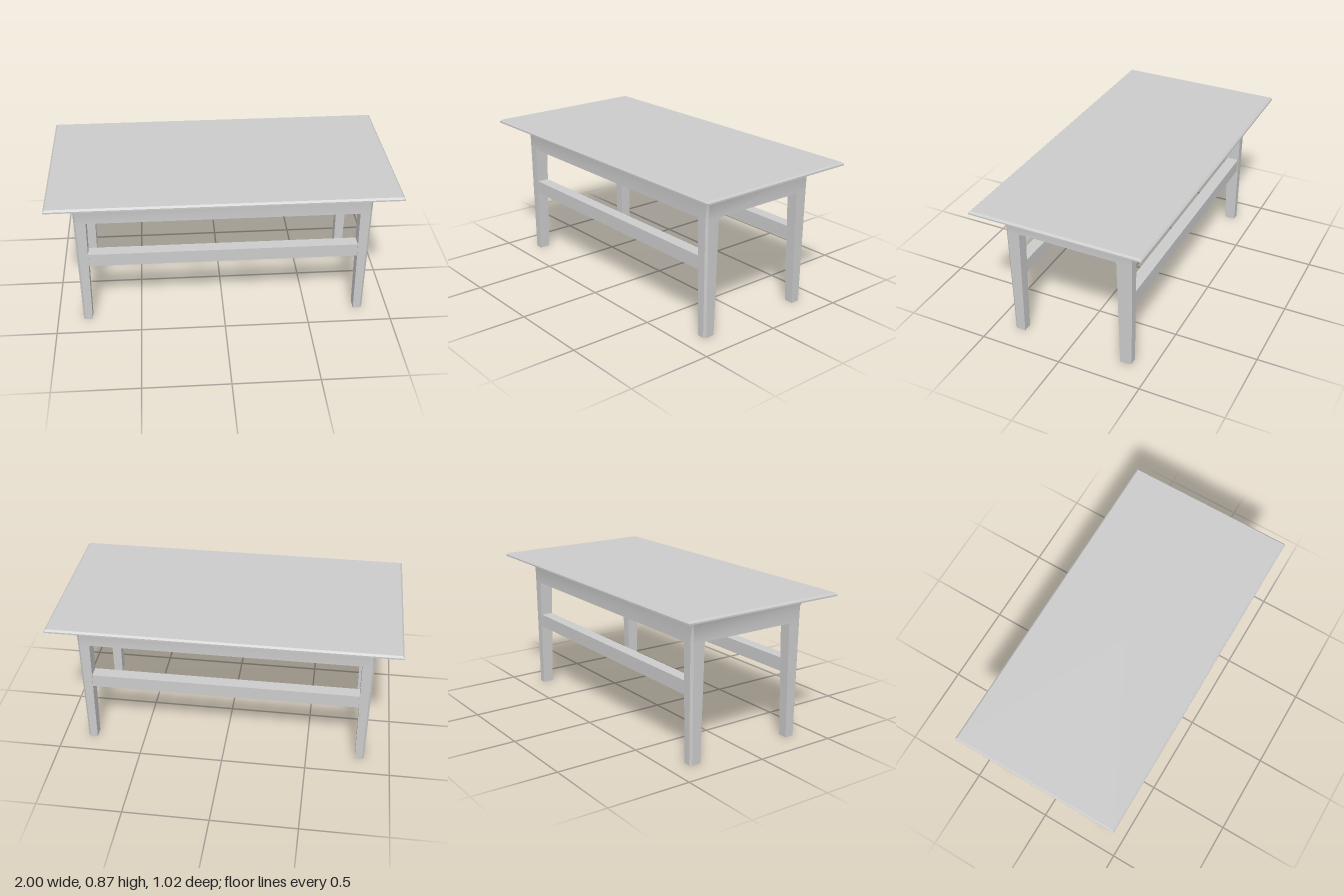
import * as THREE from 'three';
import { toCreasedNormals } from 'three/addons/utils/BufferGeometryUtils.js';

const material = new THREE.MeshStandardMaterial({ color: 0xcccccc, side: THREE.DoubleSide });

// Skin a list of cross-sections (loops of [x, y, z]) with quads.
function loft(name, sections, closed = true) {
  const pos = [], index = [], n = sections[0].length;
  sections.forEach((s) => s.forEach((p) => pos.push(...p)));
  for (let i = 0; i < sections.length - 1; i++) {
    for (let j = 0; j < (closed ? n : n - 1); j++) {
      const k = (j + 1) % n;
      const a = i * n + j, b = i * n + k, c = b + n, d = a + n;
      index.push(a, b, c, a, c, d);
    }
  }
  const geo = new THREE.BufferGeometry();
  geo.setAttribute('position', new THREE.Float32BufferAttribute(pos, 3));
  geo.setIndex(index);
  const mesh = new THREE.Mesh(toCreasedNormals(geo, 0.6), material);
  mesh.name = name;
  return mesh;
}

// Horizontal rectangle with half sizes x, z and corners cut by c.
const ring = (y, x, z, c = 0) => [
  [x - c, y, z], [x, y, z - c], [x, y, c - z], [x - c, y, -z],
  [c - x, y, -z], [-x, y, c - z], [-x, y, z - c], [c - x, y, z],
];

// Leg cross-section with its outer corner cut by c.
const legSection = (y, xi, xo, zi, zo, c) => [
  [xi, y, zo], [xo - c, y, zo], [xo, y, zo - c], [xo, y, zi], [xi, y, zi],
];

export function createModel() {
  const table = new THREE.Group();
  table.name = 'table';

  // Thin top with a bevelled upper edge
  table.add(loft('tableTop', [
    ring(0.848, 0, 0), ring(0.848, 1, 0.511), ring(0.857, 1, 0.511),
    ring(0.867, 0.99, 0.501), ring(0.867, 0, 0),
  ]));

  // Apron frame: inner wall, underside, then the outer wall flaring to the top
  table.add(loft('apron', [
    ring(0.848, 0.785, 0.297), ring(0.69, 0.785, 0.297),
    ring(0.69, 0.854, 0.382, 0.012), ring(0.78, 0.855, 0.383, 0.012),
    ring(0.848, 0.888, 0.4, 0.012),
  ]));

  for (const sz of [1, -1]) {
    // Tapered legs, hollow at the foot
    for (const sx of [1, -1]) {
      const leg = loft('leg', [
        legSection(0, 0.794, 0.848, 0.311, 0.377, 0.012),
        legSection(0.69, 0.785, 0.854, 0.297, 0.382, 0.012),
      ]);
      leg.scale.set(sx, 1, sz);
      table.add(leg);
    }

    // Long stretcher between the legs, open underneath
    const stretcher = loft('stretcher', [-0.792, 0.792].map((x) => [
      [x, 0.392, 0.304], [x, 0.472, 0.304], [x, 0.472, 0.376], [x, 0.392, 0.376],
    ]), false);
    stretcher.scale.z = sz;
    table.add(stretcher);
  }
  return table;
}
